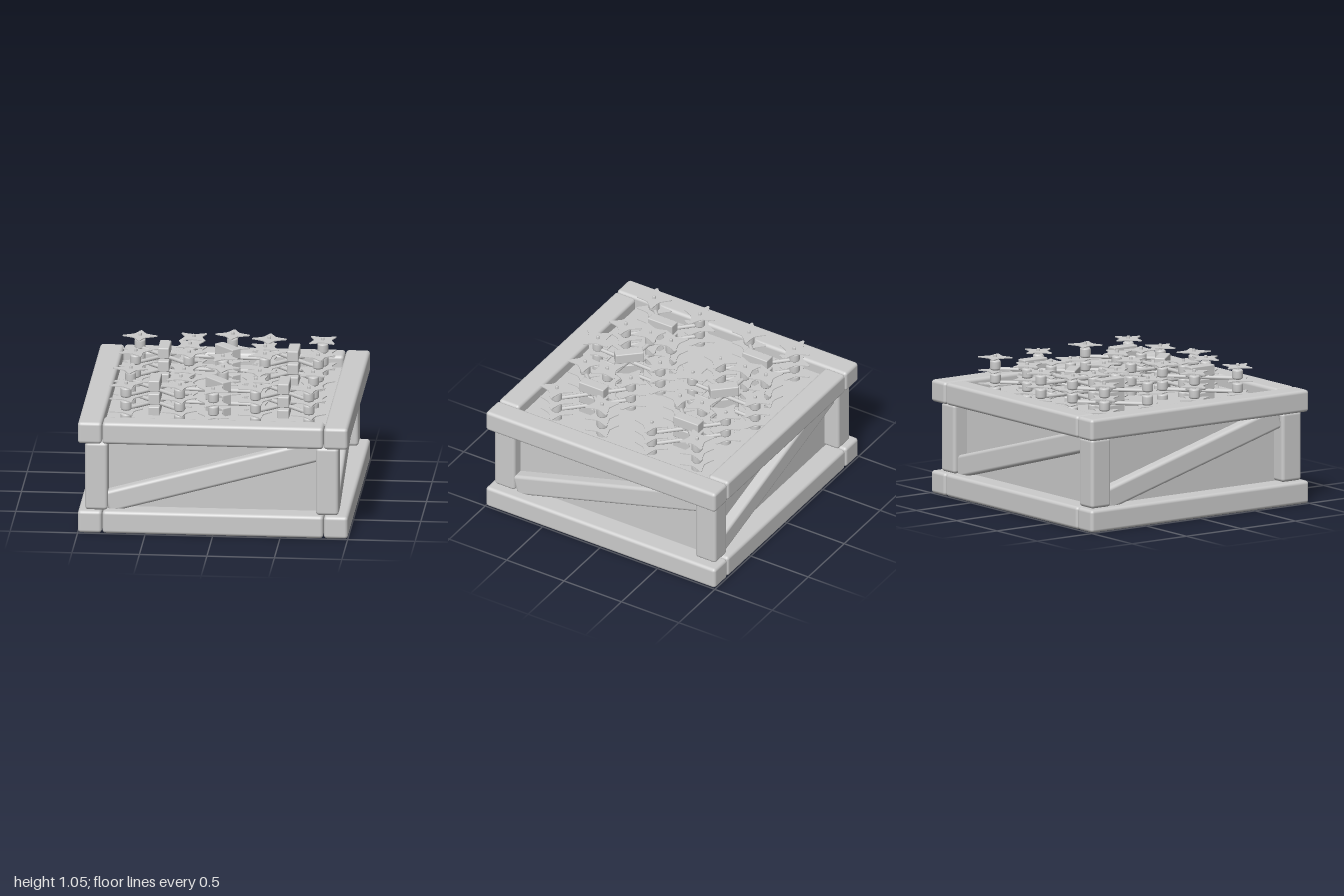
import * as THREE from 'three';
import { RoundedBoxGeometry } from 'three/addons/geometries/RoundedBoxGeometry.js';

const grey = new THREE.MeshStandardMaterial({ color: 0xcccccc });

function add(parent, name, geometry, x = 0, y = 0, z = 0) {
  const mesh = new THREE.Mesh(geometry, grey);
  mesh.name = name;
  mesh.position.set(x, y, z);
  parent.add(mesh);
  return mesh;
}

const timber = (w, h, d) => new RoundedBoxGeometry(w, h, d, 3, 0.025);

// Open-bottomed crate: rails, posts, walls, diagonal braces and lid
function createCrate() {
  const crate = new THREE.Group();
  crate.name = 'crate';
  for (const [level, y, h] of [['bottom', 0.085, 0.17], ['top', 0.77, 0.165]]) {
    for (const s of [-1, 1]) {
      add(crate, level + 'SideRail', timber(0.178, h, 2), s * 0.911, y, 0);
      add(crate, level + 'CrossRail', timber(1.636, h, 0.176), 0, y, s * 0.911);
    }
  }
  for (const [x, z] of [[0.845, 0.88], [-0.865, 0.88], [0.845, -0.87], [-0.865, -0.87]]) {
    add(crate, 'cornerPost', timber(0.168, 0.52, 0.178), x, 0.43, z);
  }
  for (let i = 0; i < 4; i++) {
    const side = new THREE.Group();
    side.name = 'crateSide';
    side.rotation.y = i * Math.PI / 2;
    add(side, 'wallPanel', new THREE.BoxGeometry(1.66, 0.6, 0.02), 0, 0.43, 0.83);
    add(side, 'diagonalBrace', timber(1.65, 0.163, 0.15), 0, 0.437, 0.848).rotation.z = 0.272;
    crate.add(side);
  }
  add(crate, 'lidPanel', new THREE.BoxGeometry(1.66, 0.02, 1.66), 0, 0.755, 0);
  return crate;
}

// Four-pointed blade with gently hollowed sides
function bladeGeometry() {
  const shape = new THREE.Shape();
  const polar = (r, a) => [r * Math.cos(a), r * Math.sin(a)];
  shape.moveTo(...polar(0.125, -0.07));
  for (let i = 0; i < 4; i++) {
    const a = i * Math.PI / 2;
    shape.quadraticCurveTo(...polar(0.133, a), ...polar(0.125, a + 0.07));
    shape.quadraticCurveTo(...polar(0.075, a + 0.42), ...polar(0.066, a + Math.PI / 4));
    shape.quadraticCurveTo(...polar(0.075, a + 1.15), ...polar(0.125, a + Math.PI / 2 - 0.07));
  }
  const geometry = new THREE.ExtrudeGeometry(shape, { depth: 0.007, bevelEnabled: false, curveSegments: 6 });
  return geometry.rotateX(-Math.PI / 2);
}

// Barrel motor with its foot, neck and spindle, from bottom to top
const motorProfile = [
  [0, 0], [0.02, 0], [0.024, 0.004], [0.024, 0.008], [0.034, 0.009], [0.039, 0.014], [0.041, 0.02],
  [0.041, 0.068], [0.039, 0.074], [0.034, 0.079], [0.014, 0.08],
  [0.013, 0.082], [0.013, 0.12], [0.009, 0.125], [0, 0.126],
].map(([r, y]) => new THREE.Vector2(r, y));

const motor = new THREE.LatheGeometry(motorProfile, 16);
const blade = bladeGeometry();
const arm = new THREE.CylinderGeometry(0.015, 0.015, 0.56, 10).rotateX(Math.PI / 2);
const body = new RoundedBoxGeometry(0.083, 0.082, 0.214, 2, 0.008);

// One flyer: central body, crossed arms and four motors with blades
function createFlyer() {
  const flyer = new THREE.Group();
  flyer.name = 'flyer';
  add(flyer, 'body', body, 0, 0.062, 0);
  for (const s of [-1, 1]) add(flyer, 'crossArm', arm, 0, 0.014, 0).rotation.y = s * Math.PI / 4;
  const corners = [[-1, -1, 0], [1, -1, 45], [1, 1, 12], [-1, 1, 22]];
  for (const [sx, sz, degrees] of corners) {
    add(flyer, 'motor', motor, sx * 0.198, 0, sz * 0.198);
    add(flyer, 'blade', blade, sx * 0.198, 0.098, sz * 0.198).rotation.y = THREE.MathUtils.degToRad(degrees);
  }
  return flyer;
}

export function createModel() {
  const model = new THREE.Group();
  model.name = 'crateOfFlyers';
  model.add(createCrate());

  // Two rows of three stacks, the middle stack turned
  for (const z of [-0.445, 0.381]) {
    for (const [x, turn] of [[-0.478, 0], [-0.01, 42.5], [0.48, 0]]) {
      for (let layer = 0; layer < 3; layer++) {
        const flyer = createFlyer();
        flyer.position.set(x, 0.725 + layer * 0.1, z);
        flyer.rotation.y = THREE.MathUtils.degToRad(turn);
        model.add(flyer);
      }
    }
  }
  return model;
}
